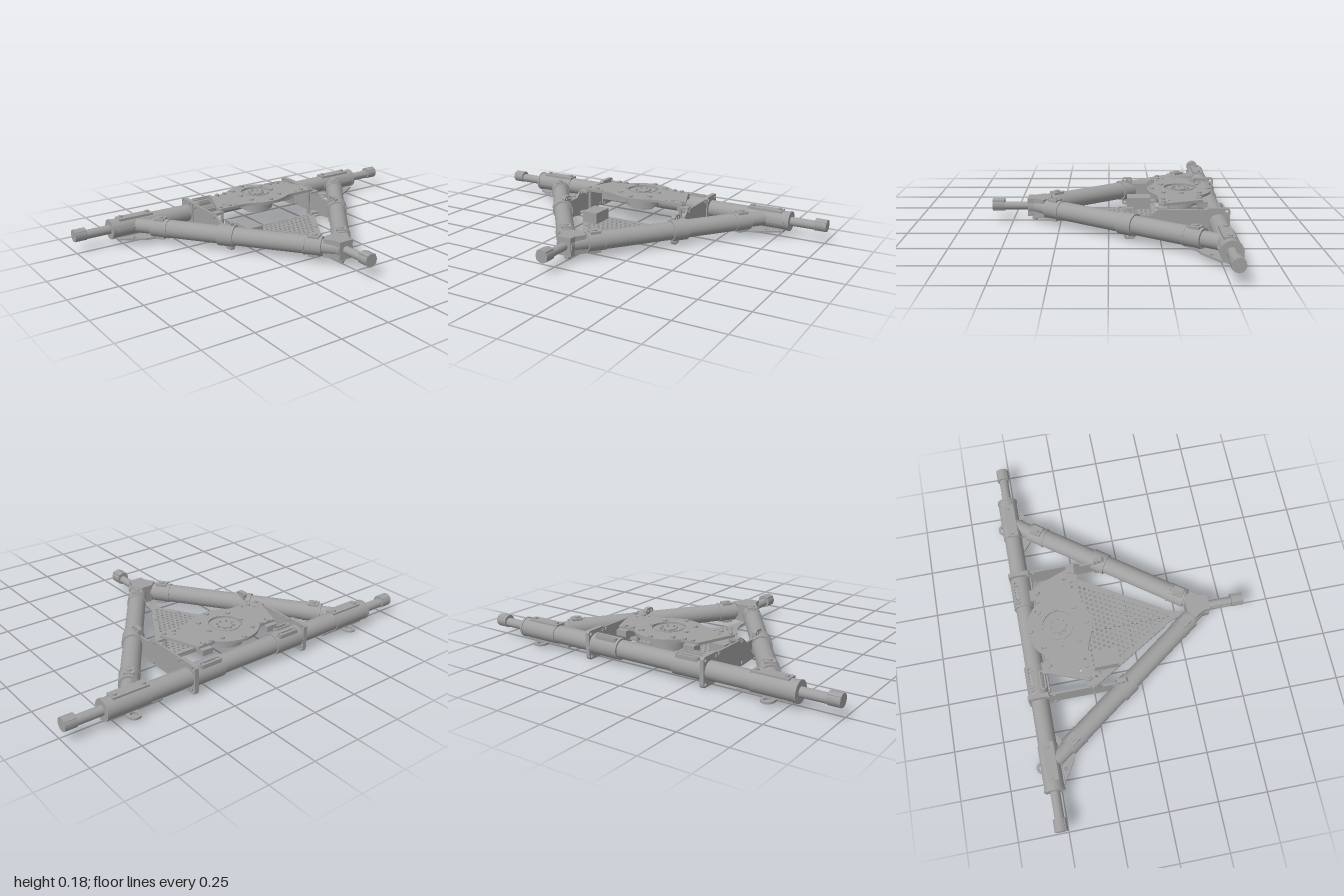
import * as THREE from 'three';

const metal = new THREE.MeshStandardMaterial({ color: 0xa0a0a0 });
metal.name = 'satin grey metal';
const Y = 0.083; // height of all tube axes
const REAR = -0.53; // z of the rear tube

function add(parent, name, geo, x = 0, y = 0, z = 0) {
  const m = new THREE.Mesh(geo, metal);
  m.name = name;
  m.position.set(x, y, z);
  parent.add(m);
  return m;
}
// Solid cylinder along an axis, centred on its position
function rod(axis, r, len, sides = 32) {
  const g = new THREE.CylinderGeometry(r, r, len, sides);
  if (axis === 'x') g.rotateZ(Math.PI / 2);
  if (axis === 'z') g.rotateX(Math.PI / 2);
  return g;
}
const box = (x, y, z) => new THREE.BoxGeometry(x, y, z);
const poly = (pts) => new THREE.Shape(pts.map(([x, y]) => new THREE.Vector2(x, y)));
function hole(shape, x, y, r, sides = 12) {
  const pts = [];
  for (let i = 0; i < sides; i++) {
    const a = (i / sides) * Math.PI * 2;
    pts.push(new THREE.Vector2(x + r * Math.cos(a), y + r * Math.sin(a)));
  }
  shape.holes.push(new THREE.Path(pts));
}
// Horizontal plate: shape (x, z), top face at the mesh's y
const flat = (shape, t) =>
  new THREE.ExtrudeGeometry(shape, { depth: t, bevelEnabled: false, curveSegments: 12 }).rotateX(Math.PI / 2);
// Upright plate: shape (z, y), thickness centred on the mesh's x
const upright = (shape, t) =>
  new THREE.ExtrudeGeometry(shape, { depth: t, bevelEnabled: false, curveSegments: 12 })
    .translate(0, 0, -t / 2).rotateY(-Math.PI / 2);
// Stadium outline along x
function stadium(len, r) {
  const s = new THREE.Shape();
  const h = len / 2 - r;
  s.moveTo(-h, -r);
  s.lineTo(h, -r);
  s.absarc(h, 0, r, -Math.PI / 2, Math.PI / 2, false);
  s.lineTo(-h, r);
  s.absarc(-h, 0, r, Math.PI / 2, Math.PI * 1.5, false);
  return s;
}
function slotRing(len) {
  const s = stadium(len, 0.016);
  s.holes.push(new THREE.Path(stadium(len - 0.016, 0.008).getPoints(8)));
  return flat(s, 0.02);
}

// Rear cross tube with telescoping ends and feet
function rearTube(root) {
  const g = new THREE.Group();
  g.name = 'rearTube';
  root.add(g);
  add(g, 'mainTube', rod('x', 0.046, 1.6), 0, Y, REAR);
  for (const s of [-1, 1]) {
    add(g, 'endShaft', rod('x', 0.024, 0.2), s * 0.86, Y, REAR);
    add(g, 'endFoot', rod('x', 0.033, 0.062, 12), s * 0.969, Y + 0.006, REAR);
    add(g, 'footTab', box(0.062, 0.04, 0.05), s * 0.969, Y + 0.009, REAR);
    add(g, 'cornerSleeve', rod('x', 0.05, 0.22), s * 0.685, Y, REAR);
    add(g, 'endCollar', rod('x', 0.053, 0.012), s * 0.8, Y, REAR);
    // Long clamp ears above and below the sleeve
    for (const up of [-1, 1]) {
      add(g, 'sleeveEar', box(0.19, 0.012, 0.055), s * 0.665, Y + up * 0.048, REAR + 0.005);
      for (const x of [0.59, 0.74]) add(g, 'earBolt', rod('y', 0.011, 0.012, 12), s * x, Y + up * 0.056, REAR);
    }
    add(g, 'sleeveSlit', box(0.2, 0.014, 0.015), s * 0.68, Y, REAR + 0.048);
    // Lifting lug behind the corner
    const lug = new THREE.Shape();
    lug.moveTo(-0.032, 0.07);
    lug.lineTo(-0.032, 0);
    lug.absarc(0, 0, 0.032, Math.PI, Math.PI * 2, false);
    lug.lineTo(0.032, 0.07);
    hole(lug, 0, 0, 0.018, 16);
    add(g, 'liftingLug', flat(lug, 0.01), s * 0.67, 0.032, -0.573);
    // Corner gusset below the joint
    const gusset = poly([[0.78, -0.55], [0.78, -0.485], [0.66, -0.41], [0.615, -0.4], [0.5, -0.5], [0.5, -0.55]]
      .map(([x, z]) => [s * x, z]));
    hole(gusset, s * 0.7, -0.458, 0.01);
    add(g, 'cornerGusset', flat(gusset, 0.01), 0, 0.038, 0);
    // Saddle clamps carrying the side plates
    add(g, 'saddle', rod('x', 0.054, 0.175), s * 0.25, Y, REAR);
    add(g, 'saddleSkirt', box(0.175, 0.05, 0.055), s * 0.25, Y - 0.008, REAR + 0.032);
    add(g, 'saddleSlot', slotRing(0.13), s * 0.24, 0.142, -0.555);
    if (s < 0) add(g, 'saddleSlot', slotRing(0.1), -0.255, 0.142, -0.497);
    for (const x of [0.2, 0.28]) add(g, 'slotBolt', rod('y', 0.007, 0.02, 10), s * x, 0.13, -0.555);
  }
}

// Diagonal arm running from a rear corner to the front nose (local +z)
function arm(root, s) {
  const g = new THREE.Group();
  g.name = s > 0 ? 'leftArm' : 'rightArm';
  g.position.set(s * 0.676, Y, REAR);
  g.rotation.y = Math.atan2(-s * 0.676, 0.92);
  root.add(g);
  add(g, 'neck', rod('z', 0.038, 1.1), 0, 0, 0.57);
  add(g, 'armTube', rod('z', 0.047, 0.86), 0, 0, 0.6);
  for (const t of [0.165, 1.0]) {
    add(g, 'endSleeve', rod('z', 0.049, 0.085), 0, 0, t);
    add(g, 'sleeveRib', rod('z', 0.051, 0.01), 0, 0, t + (t < 0.5 ? 0.045 : -0.045));
    for (const up of [-1, 1]) {
      add(g, 'clampPad', box(0.05, 0.016, 0.055), 0, up * 0.047, t);
      add(g, 'padBolt', rod('y', 0.014, 0.012, 12), 0, up * 0.055, t);
    }
  }
  add(g, 'midClamp', rod('z', 0.055, 0.085), 0, 0, 0.54);
}

// Front nose block, shaft and foot
function nose(root) {
  const g = new THREE.Group();
  g.name = 'frontNose';
  root.add(g);
  const body = poly([[-0.075, 0.335], [-0.03, 0.3], [0.03, 0.3], [0.075, 0.335], [0.042, 0.385], [0.04, 0.42], [-0.04, 0.42], [-0.042, 0.385]]);
  add(g, 'noseBlock', flat(body, 0.094), 0, Y + 0.047, 0);
  add(g, 'noseCollar', rod('z', 0.046, 0.04), 0, Y, 0.396);
  add(g, 'noseShaft', rod('z', 0.021, 0.16), 0, Y, 0.48);
  add(g, 'noseFoot', rod('z', 0.034, 0.062, 12), 0, Y + 0.006, 0.574);
  add(g, 'footTab', box(0.054, 0.05, 0.062), 0, Y + 0.008, 0.574);
  add(g, 'noseStud', rod('y', 0.012, 0.05, 12), 0, 0.03, 0.385);
}

// Upright side plates tying the rear tube to the arms
function sidePlate(root, s) {
  const g = new THREE.Group();
  g.name = s > 0 ? 'leftSidePlate' : 'rightSidePlate';
  root.add(g);
  const web = poly([[-0.5, 0.02], [-0.5, 0.148], [-0.235, 0.148], [-0.205, 0.12], [-0.09, 0.12], [-0.09, 0.025], [-0.23, 0.015]]);
  add(g, 'web', upright(web, 0.01), s * 0.337, 0, 0);
  const flange = poly([[-0.575, 0.01], [-0.585, 0.02], [-0.585, 0.147], [-0.575, 0.157], [-0.48, 0.157], [-0.47, 0.147], [-0.47, 0.02], [-0.48, 0.01]]);
  for (const z of [-0.57, -0.485]) for (const y of [0.026, 0.141]) hole(flange, z, y, 0.008);
  add(g, 'tubeFlange', upright(flange, 0.022), s * 0.337, 0, 0);
  const lug = poly([[-0.13, 0.012], [-0.13, 0.148], [-0.12, 0.158], [-0.085, 0.158], [-0.075, 0.148], [-0.075, 0.012], [-0.085, 0.003], [-0.12, 0.003]]);
  for (const z of [-0.115, -0.09]) for (const y of [0.018, 0.145]) hole(lug, z, y, 0.007);
  add(g, 'armLug', upright(lug, 0.022), s * 0.337, 0, 0);
  // Tabs and standoffs holding the deck and the floor pan
  add(g, 'deckTab', box(0.05, 0.01, 0.04), s * 0.312, 0.15, -0.26);
  add(g, 'panTab', box(0.05, 0.01, 0.04), s * 0.312, 0.03, -0.25);
  add(g, 'standoff', rod('y', 0.009, 0.13, 10), s * 0.285, 0.09, -0.265);
  add(g, 'rearDeckBlock', box(0.06, 0.03, 0.05), s * 0.2, 0.145, -0.465);
  for (const z of [-0.25, -0.45]) for (const y of [0.03, 0.135])
    add(g, 'webBolt', rod('x', 0.009, 0.022, 10), s * 0.337, y, z);
}

// Upper deck with the round turntable and its housing below
function deck(root) {
  const g = new THREE.Group();
  g.name = 'deck';
  root.add(g);
  const s = new THREE.Shape();
  s.moveTo(-0.235, -0.465);
  s.lineTo(-0.14, -0.465);
  s.quadraticCurveTo(-0.08, -0.53, 0, -0.53);
  s.quadraticCurveTo(0.08, -0.53, 0.14, -0.465);
  s.lineTo(0.235, -0.465);
  s.lineTo(0.312, -0.265);
  s.lineTo(0.3, -0.245);
  s.lineTo(0.17, -0.245);
  s.bezierCurveTo(0.1, -0.245, 0.09, -0.2, 0, -0.2);
  s.bezierCurveTo(-0.09, -0.2, -0.1, -0.245, -0.17, -0.245);
  s.lineTo(-0.3, -0.245);
  s.lineTo(-0.312, -0.265);
  for (const m of [-1, 1])
    for (const [x, z] of [[0.2, -0.44], [0.1, -0.47], [0.25, -0.3], [0.2, -0.265]]) hole(s, m * x, z, 0.008);
  add(g, 'deckPlate', flat(s, 0.014), 0, 0.172, 0);
  const ring = (pts) => new THREE.LatheGeometry(pts.map(([r, y]) => new THREE.Vector2(r, y)), 40).toNonIndexed();
  const disc = ring([[0, 0.172], [0.035, 0.172], [0.035, 0.178], [0.074, 0.178], [0.074, 0.182], [0.082, 0.182], [0.082, 0.17]]);
  disc.computeVertexNormals();
  add(g, 'turntable', disc, 0, 0, -0.37);
  for (let i = 0; i < 8; i++) {
    const a = (i / 8) * Math.PI * 2;
    add(g, 'hubBolt', rod('y', 0.005, 0.01, 8), 0.04 * Math.cos(a), 0.177, -0.37 + 0.04 * Math.sin(a));
    const r = i % 2 ? 0.13 : i % 4 ? 0.145 : 0.1;
    add(g, 'deckBolt', rod('y', 0.012, 0.012, 12), r * Math.cos(a), 0.174, -0.37 + r * Math.sin(a));
  }
  for (const m of [-1, 1]) for (const [x, z] of [[0.29, -0.268], [0.235, -0.268], [0.2, -0.455], [0.155, -0.455]])
    add(g, 'deckBolt', rod('y', 0.011, 0.012, 12), m * x, 0.174, z);
  add(g, 'housingFlange', rod('y', 0.11, 0.03, 40), 0, 0.145, -0.37);
  add(g, 'housing', rod('y', 0.09, 0.04, 40), 0, 0.115, -0.37);
  add(g, 'housingCap', rod('y', 0.065, 0.02, 40), 0, 0.09, -0.37);
}

// Perforated triangular floor pan, rim, bolts and small box
function floorPan(root) {
  const g = new THREE.Group();
  g.name = 'floorPan';
  root.add(g);
  const s = new THREE.Shape();
  s.moveTo(-0.31, -0.25);
  s.lineTo(0.31, -0.25);
  s.lineTo(0.05, 0.18);
  s.quadraticCurveTo(0.016, 0.23, 0.014, 0.3);
  s.lineTo(0.014, 0.4);
  s.lineTo(-0.014, 0.4);
  s.lineTo(-0.014, 0.3);
  s.quadraticCurveTo(-0.016, 0.23, -0.05, 0.18);
  for (let row = 0; row < 19; row++) {
    const z = -0.225 + row * 0.024;
    const half = 0.31 - (z + 0.25) * 0.605 - 0.032;
    for (let i = -10; i <= 10; i++) {
      const x = (i + (row % 2) / 2) * 0.028;
      if (Math.abs(x) < half) hole(s, x, z, 0.0085, 8);
    }
  }
  add(g, 'perforatedPlate', flat(s, 0.008), 0, 0.024, 0);
  add(g, 'rearRim', box(0.6, 0.014, 0.012), 0, 0.019, -0.25);
  for (const m of [-1, 1]) {
    const rim = add(g, 'sideRim', box(0.012, 0.012, 0.5), m * 0.176, 0.018, -0.032);
    rim.rotation.y = -m * Math.atan2(0.26, 0.43);
    for (const [x, z] of [[0.28, -0.235], [0.18, -0.06], [0.075, 0.115]])
      add(g, 'panBolt', rod('y', 0.01, 0.022, 10), m * x, 0.018, z);
  }
  add(g, 'controlBox', box(0.09, 0.06, 0.125), -0.182, 0.058, -0.162);
}

export function createModel() {
  const root = new THREE.Group();
  root.name = 'triangularFrame';
  rearTube(root);
  nose(root);
  deck(root);
  floorPan(root);
  for (const s of [-1, 1]) {
    arm(root, s);
    sidePlate(root, s);
  }
  return root;
}
